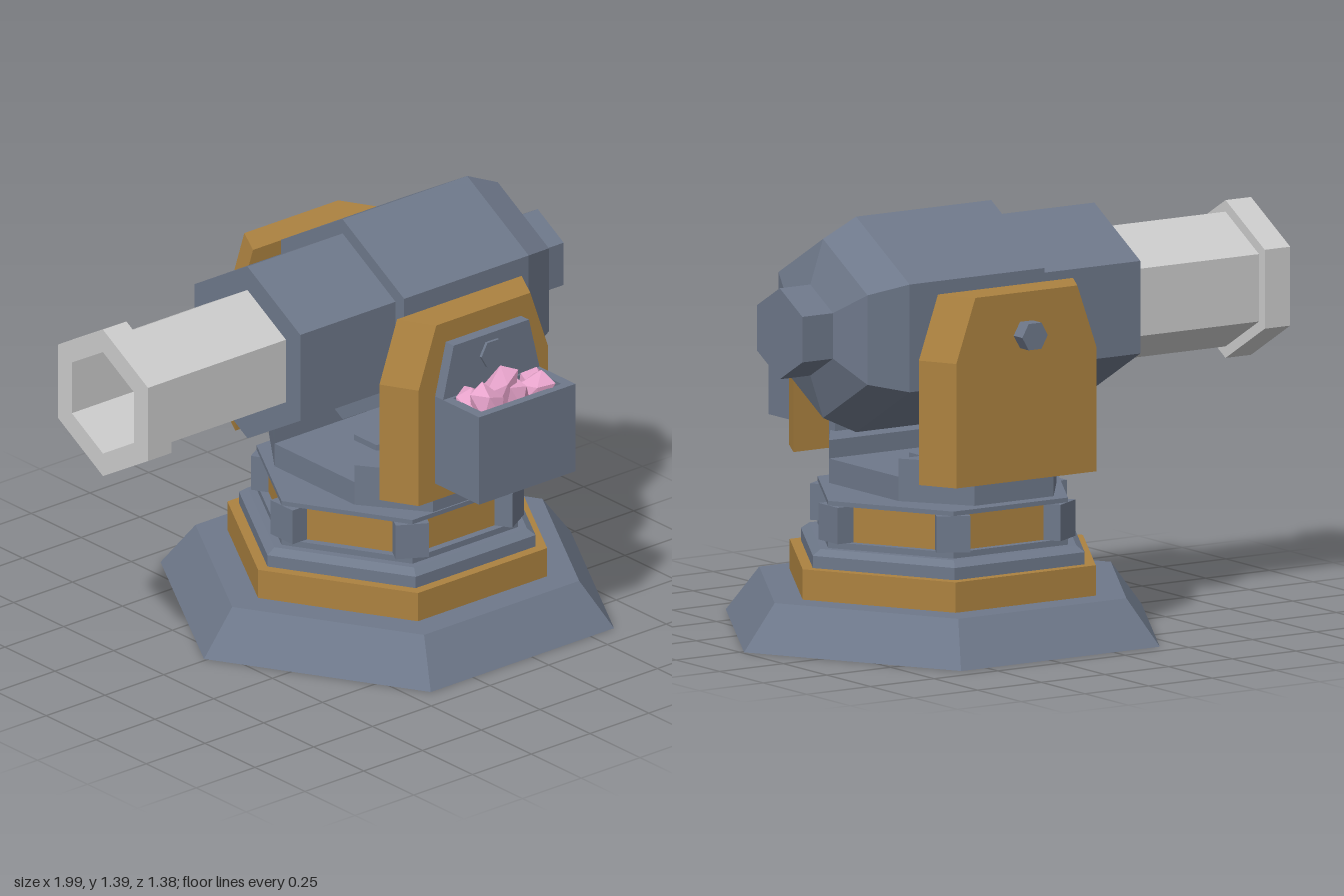
import * as THREE from 'three';

const paint = (color) => new THREE.MeshStandardMaterial({ color, flatShading: true, side: THREE.DoubleSide });

export function createModel() {
  const root = new THREE.Group();
  root.name = 'turret';
  // Everything is built around the pivot axis
  const turret = new THREE.Group();
  turret.name = 'turretAssembly';
  turret.position.set(0.21, 0, -0.01);
  root.add(turret);

  const slate = paint(0x6e788a), gold = paint(0xac8240), grey = paint(0xcccccc), pink = paint(0xe8a4cc);

  const add = (name, geo, mat, x = 0, y = 0, z = 0, parent = turret) => {
    const m = new THREE.Mesh(geo, mat);
    m.name = name;
    m.position.set(x, y, z);
    parent.add(m);
    return m;
  };
  // Six-sided lathe from [radius, height] pairs, corners on the x axis
  const hex = (pts) =>
    new THREE.LatheGeometry(pts.map(([r, h]) => new THREE.Vector2(r, h)), 6).rotateY(Math.PI / 6);
  // The same, lying along x with a corner on top
  const hexX = (pts) => hex(pts).rotateZ(-Math.PI / 2);
  const box = (w, h, d) => new THREE.BoxGeometry(w, h, d);
  const polygon = (pts) => new THREE.Shape(pts.map(([x, y]) => new THREE.Vector2(x, y)));
  const extrude = (shape, depth) => new THREE.ExtrudeGeometry(shape, { depth, bevelEnabled: false });

  // Hollow stepped base
  add('baseSkirt', hex([[0.78, 0], [0.66, 0.15], [0.55, 0.15]]), slate);
  add('baseTrim', hex([[0.55, 0.15], [0.55, 0.25], [0, 0.25]]), gold);
  add('baseStep', hex([[0.51, 0.25], [0.51, 0.29], [0.48, 0.31], [0.45, 0.31], [0.45, 0.33], [0, 0.33]]), slate);

  // Panelled ring with corner blocks
  add('ringPanels', hex([[0.42, 0.33], [0.42, 0.45]]), gold);
  for (let i = 0; i < 6; i++) {
    const a = (i * Math.PI) / 3;
    add('ringCornerBlock', box(0.1, 0.12, 0.11), slate, 0.4 * Math.cos(a), 0.39, 0.4 * Math.sin(a)).rotation.y = -a;
  }
  add('ringTop', hex([[0.45, 0.45], [0.45, 0.465], [0, 0.465]]), slate);
  add('neck', new THREE.CylinderGeometry(0.11, 0.11, 0.115, 6), slate, 0, 0.5225, 0);

  // Yoke: chamfered plate with raised ends and uprights
  const yoke = polygon([
    [-0.155, -0.41], [0.155, -0.41], [0.31, -0.2], [0.31, 0.2],
    [0.155, 0.41], [-0.155, 0.41], [-0.31, 0.2], [-0.31, -0.2],
  ]);
  add('yokePlate', extrude(yoke, 0.08).rotateX(-Math.PI / 2), slate, 0, 0.48, 0);
  const yokeEnd = polygon([[-0.31, -0.2], [0.31, -0.2], [0.195, -0.36], [-0.195, -0.36]]);

  // Side plate: outline narrows towards its outer face
  const plateShape = polygon([
    [-0.34, 0.56], [0.34, 0.56], [0.34, 0.97], [0.265, 1.18], [-0.265, 1.18], [-0.34, 0.97],
  ]);
  const plateGeo = extrude(plateShape, 0.12);
  const p = plateGeo.attributes.position;
  for (let i = 0; i < p.count; i++) {
    if (p.getZ(i) > 0.06) p.setX(i, p.getX(i) - 0.065 * Math.sign(p.getX(i)));
  }
  for (const turn of [0, Math.PI]) {
    const side = new THREE.Group();
    side.name = turn ? 'backSupport' : 'frontSupport';
    side.rotation.y = turn;
    turret.add(side);
    add('sidePlate', plateGeo, gold, 0, 0, 0.36, side);
    add('yokeEnd', extrude(yokeEnd, 0.06).rotateX(-Math.PI / 2), slate, 0, 0.56, 0, side);
    add('yokeUpright', box(0.4, 0.32, 0.04), slate, 0, 0.72, 0.345, side);
  }
  add('axle', hex([[0, -0.53], [0.05, -0.53], [0.05, 0.53], [0, 0.53]]).rotateX(Math.PI / 2), slate, 0, 1.04, 0);

  // Gun body and barrel
  const axisY = 1.035;
  add('gunBody', hexX([
    [0, -0.19], [0.355, -0.19], [0.355, 0.34], [0.295, 0.47], [0.15, 0.52], [0, 0.52],
  ]), slate, 0, axisY, 0);
  add('rearCap', hexX([[0.15, 0.51], [0.15, 0.64], [0, 0.64]]), slate, 0, axisY, 0);
  add('barrelSleeve', hexX([[0, -0.595], [0.305, -0.595], [0.305, -0.19]]), slate, 0, axisY, 0);
  add('barrel', hexX([
    [0, -0.75], [0.18, -0.75], [0.18, -1.21], [0.26, -1.21], [0.26, -1.11], [0.222, -1.11], [0.222, -0.595],
  ]), grey, 0, axisY, 0);

  // Ammunition bin, open at the top
  const bin = new THREE.Group();
  bin.name = 'crystalBin';
  turret.add(bin);
  const backing = polygon([
    [-0.205, 0.62], [0.205, 0.62], [0.205, 0.93], [0.16, 1.11], [-0.16, 1.11], [-0.205, 0.93],
  ]);
  add('binBackPlate', extrude(backing, 0.04), slate, 0, 0, 0.48, bin);
  const rim = polygon([[-0.205, -0.1], [0.205, -0.1], [0.205, 0.1], [-0.205, 0.1]]);
  rim.holes.push(polygon([[-0.17, -0.07], [-0.17, 0.07], [0.17, 0.07], [0.17, -0.07]]));
  add('binWalls', extrude(rim, 0.31).rotateX(-Math.PI / 2), slate, 0, 0.62, 0.6, bin);
  add('binFloor', box(0.36, 0.24, 0.16), slate, 0, 0.745, 0.6, bin);

  // Crystals: x, y, z, height, lean
  const crystals = [
    [-0.1, 0.91, 0.62, 0.1, 0.5], [-0.13, 0.9, 0.57, 0.08, -0.3], [-0.02, 0.92, 0.58, 0.12, 0.25],
    [0.03, 0.9, 0.6, 0.09, -0.5], [0.1, 0.9, 0.61, 0.1, -0.7], [0.13, 0.9, 0.58, 0.08, 0.4],
  ];
  crystals.forEach(([x, y, z, h, lean], i) => {
    const c = add('crystal', new THREE.IcosahedronGeometry(1, 0), pink, x, y, z, bin);
    c.scale.set(0.06, h, 0.055);
    c.rotation.set(0.15 * (i % 3 - 1), i * 1.3, lean);
  });
  return root;
}
